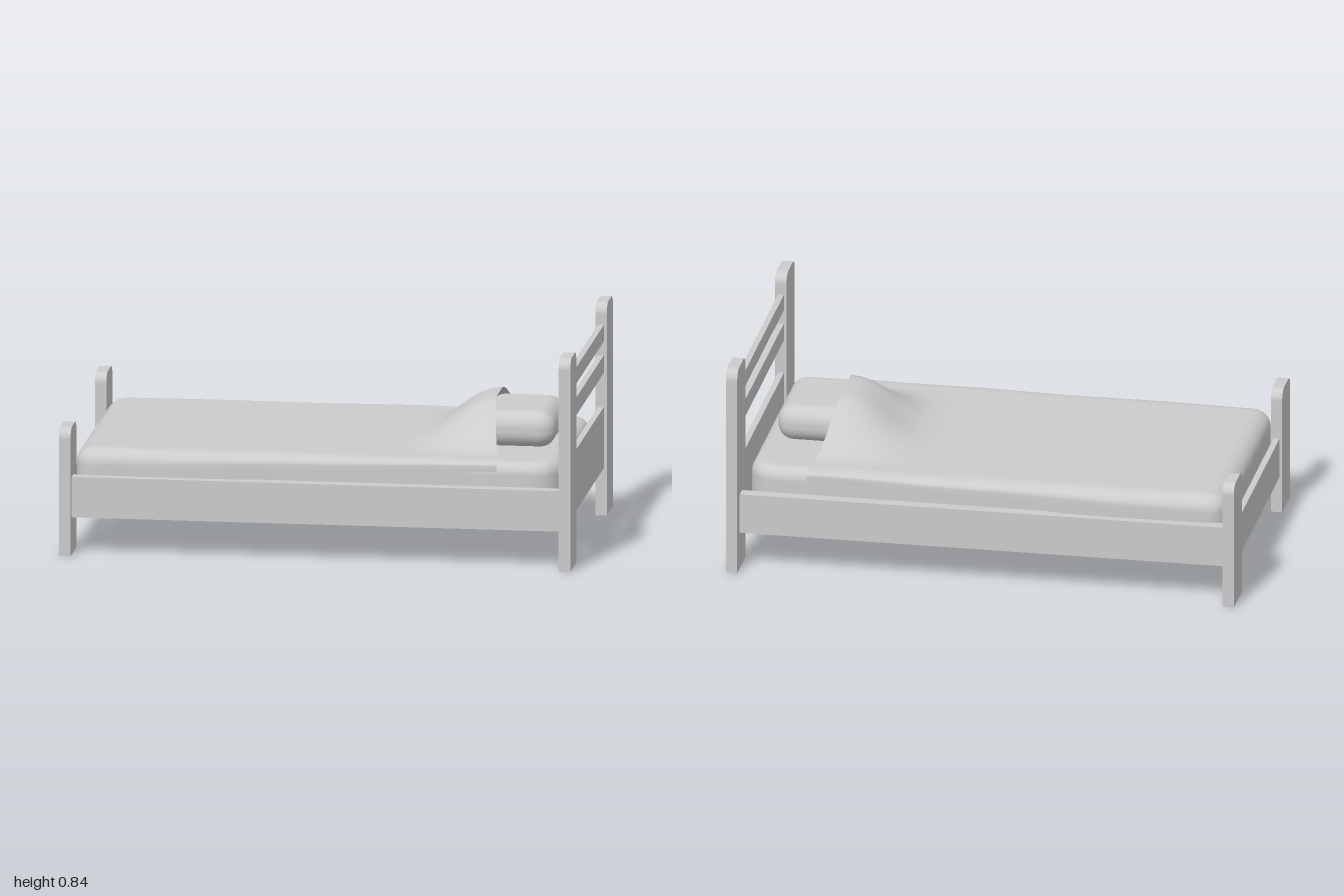
import * as THREE from 'three';
import { RoundedBoxGeometry } from 'three/addons/geometries/RoundedBoxGeometry.js';

const material = new THREE.MeshStandardMaterial({ color: 0xcccccc });
const clothMaterial = new THREE.MeshStandardMaterial({ color: 0xcccccc, side: THREE.DoubleSide });
const { smoothstep } = THREE.MathUtils;

function addMesh(parent, name, geometry, mat = material) {
  const mesh = new THREE.Mesh(geometry, mat);
  mesh.name = name;
  parent.add(mesh);
  return mesh;
}

// Box given by its lower and upper limits on each axis
function addBoard(parent, name, [x0, x1], [y0, y1], [z0, z1]) {
  const board = addMesh(parent, name, new THREE.BoxGeometry(x1 - x0, y1 - y0, z1 - z0));
  board.position.set((x0 + x1) / 2, (y0 + y1) / 2, (z0 + z1) / 2);
}

// Flat post with rounded top corners
function addPost(parent, name, x, z, width, height) {
  const h = width / 2, r = 0.042, t = 0.045;
  const shape = new THREE.Shape();
  shape.moveTo(-h, 0);
  shape.lineTo(h, 0);
  shape.lineTo(h, height - r);
  shape.absarc(h - r, height - r, r, 0, Math.PI / 2, false);
  shape.absarc(-h + r, height - r, r, Math.PI / 2, Math.PI, false);
  shape.closePath();
  const geometry = new THREE.ExtrudeGeometry(shape, { depth: t, bevelEnabled: false, curveSegments: 6 });
  geometry.translate(0, 0, -t / 2).rotateY(Math.PI / 2);
  addMesh(parent, name, geometry).position.set(x, 0, z);
}

// Edge profile of a draped sheet: [outward, downward] steps from the flat core
function edgeProfile(cornerRadius, round, drop, lip = 0) {
  const steps = [[0, 0]];
  for (let k = 0; k <= 6; k++) {
    const a = (k / 6) * Math.PI / 2;
    steps.push([cornerRadius - round + round * Math.sin(a), round * (1 - Math.cos(a))]);
  }
  steps.push([cornerRadius, (round + drop) / 2], [cornerRadius, drop]);
  if (lip) steps.push([cornerRadius - lip, drop + 0.01]);
  return steps;
}

// Sheet over a rectangular core, folded down round its edges (the head end may stay open)
function drapeGeometry({ x, z, top, profile, openHead = false, deform = (p) => p }) {
  const n = 40, m = profile.length - 1;
  const iMax = openHead ? n : n + m, cols = n + 2 * m + 1;
  const positions = [], index = [];
  const over = (i) => (i < 0 ? i : i > n ? i - n : 0);
  const core = ([a, b], i) => a + (b - a) * THREE.MathUtils.clamp(i / n, 0, 1);
  for (let i = -m; i <= iMax; i++) {
    for (let j = -m; j <= n + m; j++) {
      const ei = over(i), ej = over(j), length = Math.hypot(ei, ej) || 1;
      const [out, down] = profile[Math.max(Math.abs(ei), Math.abs(ej))];
      const p = new THREE.Vector3(core(x, i) + out * ei / length, top - down, core(z, j) + out * ej / length);
      positions.push(...deform(p).toArray());
      if (i < iMax && j < n + m) {
        const a = (i + m) * cols + j + m, c = a + cols;
        index.push(a, a + 1, c, c, a + 1, c + 1);
      }
    }
  }
  const geometry = new THREE.BufferGeometry();
  geometry.setAttribute('position', new THREE.Float32BufferAttribute(positions, 3));
  geometry.setIndex(index);
  geometry.computeVertexNormals();
  return geometry;
}

// Blanket: hem rises toward the head, head edge curves back and lifts over the pillow
function shapeBlanket(p) {
  const top = 0.408, drop = 0.16;
  const hem = 0.25 + 0.11 * Math.pow(smoothstep(p.x, -1.6, 1.2), 1) * 1.16;
  p.y = top - (top - p.y) * (top - hem) / drop;
  const side = Math.abs(p.z);
  const lift = Math.pow(smoothstep(p.x, 0.25, 0.7), 1.2) * (1 - smoothstep(side, 0.08, 0.42));
  p.y += 0.165 * lift;
  p.x -= 0.06 * (1 - smoothstep(side, 0.05, 0.56)) * smoothstep(p.x, 0.3, 0.7);
  // slight looseness along the sides
  if (side > 0.45) p.z += Math.sign(p.z) * 0.004 * Math.sin(p.x * 9);
  return p;
}

export function createModel() {
  const bed = new THREE.Group();
  bed.name = 'bed';

  // Headboard and footboard
  const headboard = new THREE.Group();
  headboard.name = 'headboard';
  const footboard = new THREE.Group();
  footboard.name = 'footboard';
  bed.add(headboard, footboard);
  for (const s of [-1, 1]) {
    addPost(headboard, 'headPost', 0.9775, s * 0.517, 0.173, 0.84);
    addPost(footboard, 'footPost', -0.9775, s * 0.507 - 0.01, 0.169, 0.505);
    addBoard(bed, 'sideRail', [-0.955, 0.955], [0.147, 0.307], s > 0 ? [0.5, 0.55] : [-0.55, -0.503]);
  }
  for (const y of [[0.69, 0.755], [0.565, 0.635], [0.188, 0.43]]) {
    addBoard(headboard, 'headSlat', [0.965, 0.988], y, [-0.435, 0.435]);
  }
  addBoard(footboard, 'footPanel', [-0.99, -0.966], [0.147, 0.307], [-0.44, 0.42]);

  // Mattress: hollow shell with a narrow lip underneath
  addMesh(bed, 'mattress', drapeGeometry({
    x: [-0.81, 0.82], z: [-0.36, 0.355], top: 0.397, profile: edgeProfile(0.12, 0.05, 0.2, 0.035),
  }), clothMaterial);

  // Pillow
  addMesh(bed, 'pillow', new RoundedBoxGeometry(0.3, 0.145, 0.4, 6, 0.066))
    .position.set(0.73, 0.463, 0);

  // Blanket
  addMesh(bed, 'blanket', drapeGeometry({
    x: [-0.87, 0.7], z: [-0.435, 0.43], top: 0.408, profile: edgeProfile(0.08, 0.07, 0.16),
    openHead: true, deform: shapeBlanket,
  }), clothMaterial);

  return bed;
}
